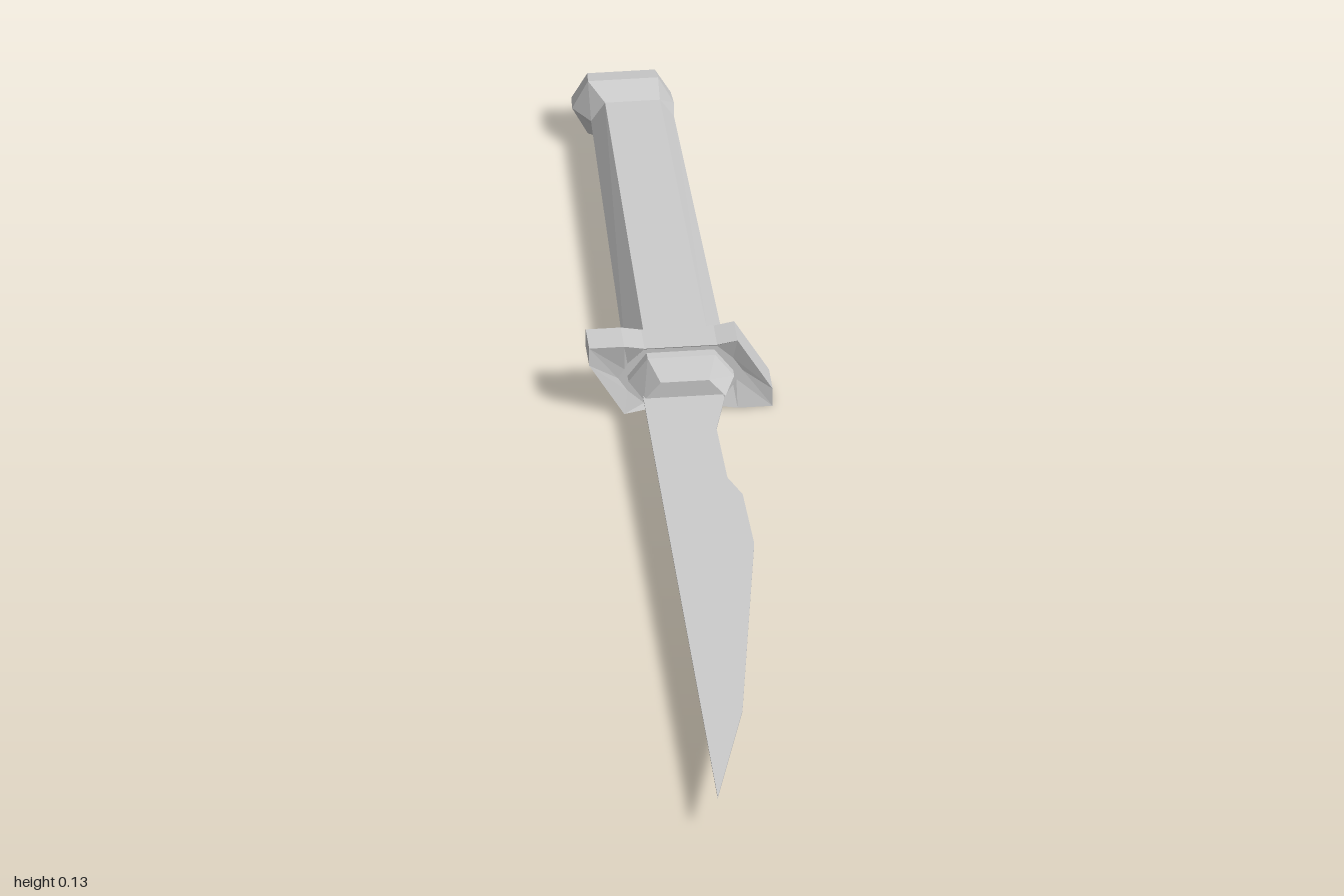
import * as THREE from 'three';

const MID = 0.067; // height of the long axis

// Joins matching rings of [x, y, z] (counter-clockwise seen from +z) and caps both ends
function loft(name, rings, material) {
  const pos = [];
  const tri = (a, b, c) => pos.push(...a, ...b, ...c);
  const n = rings[0].length;
  for (let r = 0; r < rings.length - 1; r++) {
    for (let i = 0; i < n; i++) {
      const j = (i + 1) % n, p = rings[r], q = rings[r + 1];
      tri(p[i], p[j], q[j]);
      tri(p[i], q[j], q[i]);
    }
  }
  const first = rings[0], last = rings[rings.length - 1];
  for (let i = 1; i < n - 1; i++) {
    tri(first[0], first[i + 1], first[i]);
    tri(last[0], last[i], last[i + 1]);
  }
  const geometry = new THREE.BufferGeometry();
  geometry.setAttribute('position', new THREE.Float32BufferAttribute(pos, 3));
  geometry.computeVertexNormals();
  const mesh = new THREE.Mesh(geometry, material);
  mesh.name = name;
  return mesh;
}

// Flattened hexagon: half width, half width of the flats, half height, x offset
const hex = (z, w, f, h, cx = 0) =>
  [[w, 0], [f, h], [-f, h], [-w, 0], [-f, -h], [f, -h]].map(([x, y]) => [cx + x, MID + y, z]);

// Six points plus the same six turned half a turn about the guard's centre
const turned = (half, z) => [
  ...half.map(([x, y]) => [x, y, z]),
  ...half.map(([x, y]) => [-x, 0.13 - y, z]),
];

export function createModel() {
  const group = new THREE.Group();
  group.name = 'dagger';
  const material = new THREE.MeshStandardMaterial({ color: 0xcccccc, flatShading: true });

  // Tapered six-sided grip
  group.add(loft('grip', [
    hex(-0.94, 0.065, 0.043, 0.033, -0.002),
    hex(-0.24, 0.08, 0.05, 0.041, -0.002),
  ], material));

  // Flared end of the grip
  group.add(loft('pommel', [
    hex(-1, 0.078, 0.053, 0.044, -0.013),
    hex(-0.97, 0.08, 0.055, 0.049, -0.013),
    hex(-0.93, 0.065, 0.043, 0.033, -0.002),
  ], material));

  // Slanted guard with slightly dished faces
  const rim = [[0.144, 0.002], [0.144, 0.034], [0.089, 0.128], [0.057, 0.122], [-0.057, 0.122], [-0.089, 0.128]];
  const dish = [[0.088, 0.05], [0.098, 0.066], [0.083, 0.09], [0.057, 0.115], [-0.057, 0.115], [-0.083, 0.09]];
  group.add(loft('guard', [
    turned(dish, -0.243), turned(rim, -0.252), turned(rim, -0.197), turned(dish, -0.206),
  ], material));

  // Collar that holds the blade
  group.add(loft('collar', [
    hex(-0.215, 0.083, 0.053, 0.041),
    hex(-0.19, 0.083, 0.053, 0.041),
    hex(-0.135, 0.064, 0.038, 0.031),
  ], material));

  // Thin flat blade with a straight spine and a curved edge
  const outline = [
    [-0.065, -0.16], [0.062, -0.16], [0.06, -0.12], [0.04, -0.04], [0.043, 0.1],
    [0.062, 0.15], [0.066, 0.29], [0, 0.76], [-0.063, 1],
  ];
  const shape = new THREE.Shape(outline.map(([x, z]) => new THREE.Vector2(x, z)));
  const bladeGeometry = new THREE.ExtrudeGeometry(shape, { depth: 0.003, bevelEnabled: false });
  bladeGeometry.rotateX(Math.PI / 2); // shape y becomes z
  bladeGeometry.translate(0, MID + 0.003, 0);
  const blade = new THREE.Mesh(bladeGeometry, material);
  blade.name = 'blade';
  group.add(blade);

  return group;
}
